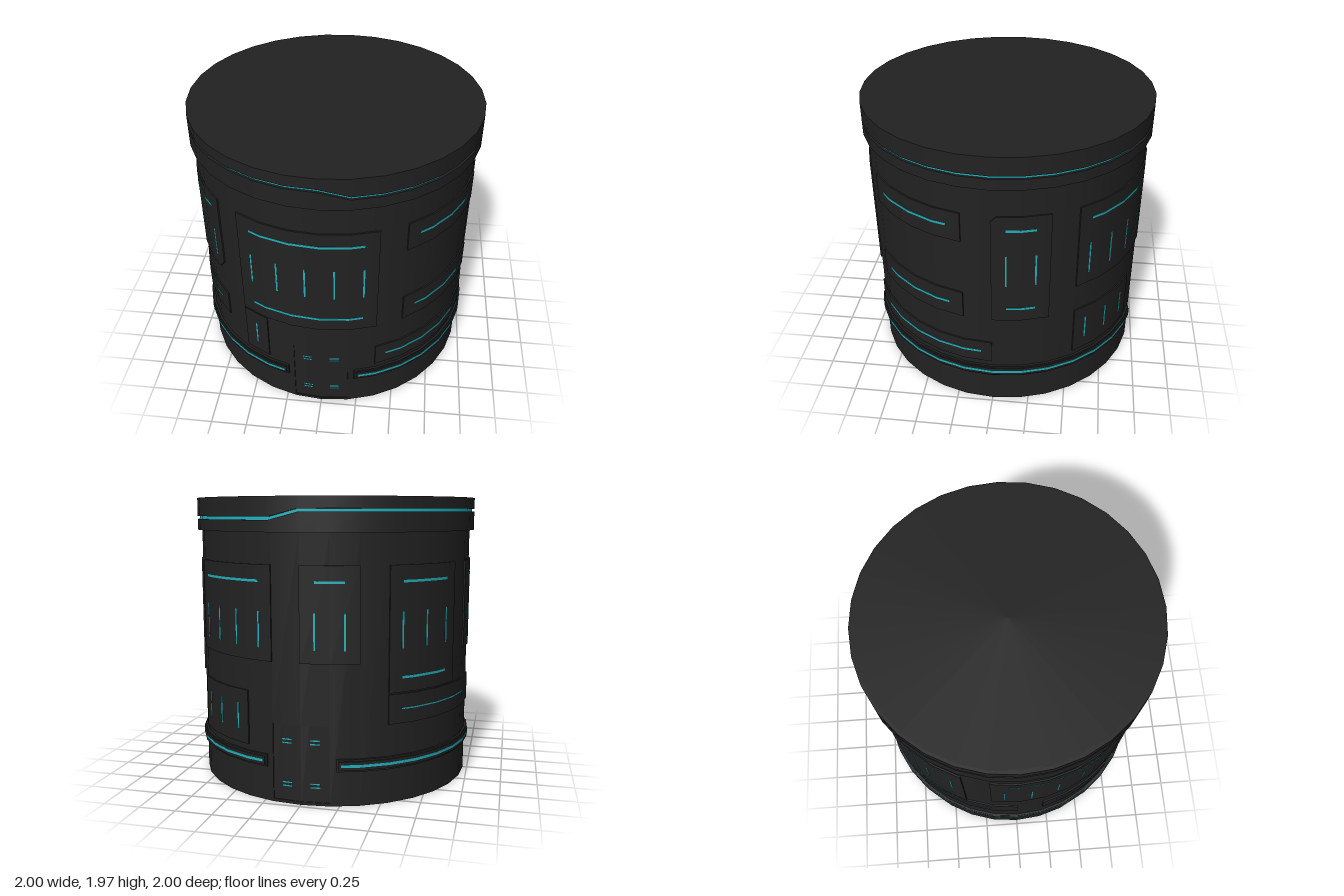
import * as THREE from 'three';

const SIDES = 32;
const dark = new THREE.MeshStandardMaterial({ color: 0x222222 });
const glow = new THREE.MeshStandardMaterial({ color: 0x22b0bc });

// Angles are counted in facets: 0 is the front, 8 is +x, 16 is the back.
function ringPoint(k, r) {
  const i = Math.floor(k), t = k - i;
  const a = (i * 2 * Math.PI) / SIDES, b = ((i + 1) * 2 * Math.PI) / SIDES;
  return [
    r * (Math.sin(a) * (1 - t) + Math.sin(b) * t),
    r * (Math.cos(a) * (1 - t) + Math.cos(b) * t),
  ];
}

// A height is a number or a short list of [facet, y] points.
function heightAt(h, k) {
  if (typeof h === 'number') return h;
  if (k <= h[0][0]) return h[0][1];
  for (let i = 1; i < h.length; i++) {
    const [k0, y0] = h[i - 1], [k1, y1] = h[i];
    if (k <= k1) return y0 + ((y1 - y0) * (k - k0)) / (k1 - k0);
  }
  return h[h.length - 1][1];
}

// Curved slab between two angles, two heights and two radii; smooth outside, sharp edges.
function slabGeometry(k0, k1, low, high, rIn, rOut) {
  const ks = new Set([k0, k1]);
  for (let k = Math.ceil(k0); k < k1; k++) ks.add(k);
  for (const h of [low, high]) {
    if (Array.isArray(h)) h.forEach(([k]) => k > k0 && k < k1 && ks.add(k));
  }
  const cols = [...ks].sort((a, b) => a - b).map((k) => {
    const [xo, zo] = ringPoint(k, rOut), [xi, zi] = ringPoint(k, rIn);
    const b = heightAt(low, k), t = heightAt(high, k);
    return { ob: [xo, b, zo], ot: [xo, t, zo], ib: [xi, b, zi], it: [xi, t, zi] };
  });
  const pos = [];
  const quad = (a, b, c, d) => pos.push(...a, ...b, ...c, ...a, ...c, ...d);
  const pairs = cols.slice(1).map((c, i) => [cols[i], c]);
  pairs.forEach(([p, q]) => quad(p.ob, q.ob, q.ot, p.ot));
  const outerCount = pos.length / 3;
  pairs.forEach(([p, q]) => {
    quad(p.ot, q.ot, q.it, p.it);
    quad(p.ib, q.ib, q.ob, p.ob);
  });
  const s = cols[0], e = cols[cols.length - 1];
  quad(s.ib, s.ob, s.ot, s.it);
  quad(e.ob, e.ib, e.it, e.ot);

  const geo = new THREE.BufferGeometry();
  geo.setAttribute('position', new THREE.Float32BufferAttribute(pos, 3));
  geo.computeVertexNormals();
  const n = geo.attributes.normal;
  for (let i = 0; i < outerCount; i++) {
    const x = pos[i * 3], z = pos[i * 3 + 2], l = Math.hypot(x, z);
    n.setXYZ(i, x / l, 0, z / l);
  }
  return geo;
}

export function createModel() {
  const model = new THREE.Group();
  const R = 0.97, PANEL = 0.98, CORE = 0.964;

  const add = (parent, name, geo, mat) => {
    const mesh = new THREE.Mesh(geo, mat);
    mesh.name = name;
    parent.add(mesh);
    return mesh;
  };
  const slab = (parent, name, mat, ...args) => add(parent, name, slabGeometry(...args), mat);
  const part = (name) => {
    const g = new THREE.Group();
    g.name = name;
    model.add(g);
    return g;
  };

  // Solid core; it also forms the floor of the two recessed plates
  add(model, 'core', new THREE.CylinderGeometry(CORE, CORE, 1.8, SIDES), dark).position.y = 0.9;

  // Outer wall, left open at the front and back for the plates
  const wall = part('wall');
  for (const k of [0, 16]) {
    slab(wall, 'wallSide', dark, k + 1, k + 15, 0, 1.76, 0.95, R);
    slab(wall, 'wallAbovePlate', dark, k - 1, k + 1, 0.53, 1.76, 0.95, R);
    slab(wall, 'wallBelowPlate', dark, k - 1, k + 1, 0, 0.02, 0.95, R);
  }

  // Small paired marks on the recessed plates
  for (const k of [0, 16]) {
    const plate = part('plateMarks');
    for (const side of [-0.5, 0.5]) {
      for (const y of [0.118, 0.142, 0.408, 0.432]) {
        slab(plate, 'mark', glow, k + side - 0.17, k + side + 0.17, y - 0.004, y + 0.004, 0.95, CORE + 0.002);
      }
    }
  }

  // Top rim with a glowing groove that steps down on the +x half
  const rim = part('rim');
  const groove = (d) => [[0, 1.885 + d], [1, 1.835 + d], [15, 1.835 + d], [16, 1.885 + d]];
  add(rim, 'rimCore', new THREE.CylinderGeometry(0.98, 0.98, 0.22, SIDES), dark).position.y = 1.86;
  slab(rim, 'rimLower', dark, 0, 32, 1.75, groove(-0.01), 0.97, 1);
  slab(rim, 'rimUpper', dark, 0, 32, groove(0.01), 1.97, 0.97, 1);
  slab(rim, 'rimLight', glow, 0, 32, groove(-0.01), groove(0.01), 0.97, 0.984);

  // Lower belt halves, stepped, with a light strip
  for (const k of [0, 16]) {
    const belt = part('belt');
    slab(belt, 'beltBase', dark, k + 1.22, k + 14.78, 0.235, 0.317, 0.95, 0.985);
    slab(belt, 'beltBand', dark, k + 1.29, k + 14.71, 0.247, 0.305, 0.95, 0.994);
    slab(belt, 'beltLight', glow, k + 1.37, k + 14.63, 0.267, 0.285, 0.95, 0.996);
  }

  // Raised panels: h are level lights [from, to, y], v are upright lights (facets)
  const tall = [1.02, 1.255], short = [0.45, 0.63];
  const panels = [
    { name: 'frontPanel', k: [-3, 2], y: [0.735, 1.55], h: [[-2.5, 1.5, 1.447], [-2.5, 1.5, 0.833]],
      v: [-2.5, -1.5, -0.5, 0.5, 1.5], span: tall },
    { name: 'frontSmallPanel', k: [-3, -2], y: [0.36, 0.725], v: [-2.5], span: short },
    { name: 'leftUpperPanel', k: [3, 7], y: [1.34, 1.55], h: [[3.5, 6.5, 1.447]] },
    { name: 'leftMiddlePanel', k: [3, 7], y: [0.735, 0.935], h: [[3.5, 6.5, 0.833]] },
    { name: 'leftLowerPanel', k: [2, 8], y: [0.36, 0.53], h: [[2.4, 7.6, 0.445]] },
    { name: 'leftTallPanel', k: [8, 10], y: [0.735, [[8, 1.515], [8.2, 1.55]]],
      h: [[8.5, 9.5, 1.447], [8.5, 9.5, 0.833]], v: [8.5, 9.5], span: tall },
    { name: 'backLeftPanel', k: [11, 15], y: [0.935, 1.55], h: [[11.5, 14.5, 1.447]],
      v: [11.5, 12.5, 13.5, 14.5], span: tall },
    { name: 'backLeftLowerPanel', k: [11, 14], y: [0.36, 0.725], v: [11.5, 12.5, 13.5], span: short },
    { name: 'backPanel', k: [16, 18], y: [0.935, 1.55], h: [[16.5, 17.5, 1.447]], v: [16.5, 17.5], span: tall },
    { name: 'backRightPanel', k: [19, 22], y: [0.735, 1.55], h: [[19.5, 21.5, 1.447], [19.5, 21.5, 0.833]],
      v: [19.5, 20.5, 21.5], span: tall },
    { name: 'backRightLowerPanel', k: [19, 24], y: [0.53, 0.725], h: [[19.5, 23.2, 0.627, 0.004]] },
    { name: 'rightPanel', k: [23, 28], y: [[[27.63, 0.935], [28, 1.02]], 1.55], h: [[23.5, 27.5, 1.447]],
      v: [23.5, 24.5, 25.5, 26.5, 27.5], span: tall },
    { name: 'rightLowerPanel', k: [25, 28], y: [0.53, 0.725], h: [[25.6, 27.5, 0.627, 0.004]] },
  ];
  for (const { name, k, y, h = [], v = [], span } of panels) {
    const g = part(name);
    slab(g, 'panelFace', dark, k[0], k[1], y[0], y[1], 0.95, PANEL);
    for (const [a, b, c, half = 0.008] of h) {
      slab(g, 'levelLight', glow, a, b, c - half, c + half, 0.96, PANEL + 0.002);
    }
    for (const c of v) {
      slab(g, 'uprightLight', glow, c - 0.03, c + 0.03, span[0], span[1], 0.96, PANEL + 0.002);
    }
  }
  return model;
}
